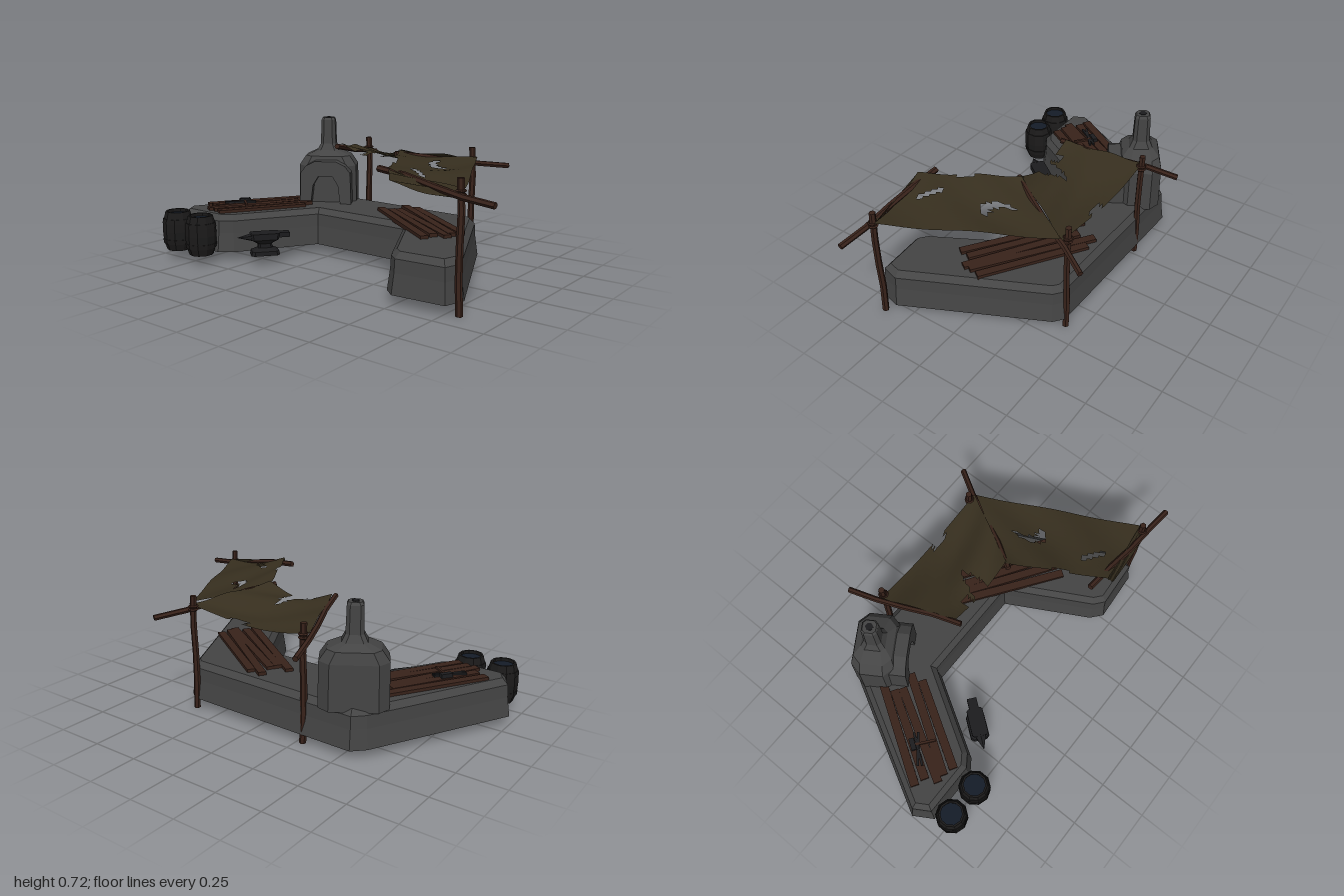
import * as THREE from 'three';

const mat = (color) => new THREE.MeshStandardMaterial({ color, flatShading: true, side: THREE.DoubleSide });
const stone = mat(0x444444), wood = mat(0x38221a), cloth = mat(0x362e1e), iron = mat(0x1c1c1e),
  barrelWood = mat(0x1b1a1a), water = mat(0x141c28);
const V = (x, y, z) => new THREE.Vector3(x, y, z);

function add(parent, name, geo, material, x = 0, y = 0, z = 0, ry = 0) {
  const m = new THREE.Mesh(geo, material);
  m.name = name;
  m.position.set(x, y, z);
  m.rotation.y = ry;
  parent.add(m);
  return m;
}

// Skins rings of points (bottom to top) and closes the top
function loft(rings) {
  const pos = [], n = rings[0].length;
  const tri = (...p) => p.forEach((v) => pos.push(v.x, v.y, v.z));
  for (let k = 0; k + 1 < rings.length; k++) {
    for (let i = 0; i < n; i++) {
      const j = (i + 1) % n, lo = rings[k], hi = rings[k + 1];
      tri(lo[i], hi[i], hi[j]);
      tri(lo[i], hi[j], lo[j]);
    }
  }
  const top = rings[rings.length - 1];
  const flat = top.map((p) => new THREE.Vector2(p.x, p.z));
  for (const [a, b, c] of THREE.ShapeUtils.triangulateShape(flat, [])) {
    const up = flat[b].clone().sub(flat[a]).cross(flat[c].clone().sub(flat[a])) < 0;
    up ? tri(top[a], top[b], top[c]) : tri(top[a], top[c], top[b]);
  }
  const g = new THREE.BufferGeometry();
  g.setAttribute('position', new THREE.Float32BufferAttribute(pos, 3));
  g.computeVertexNormals();
  return g;
}

// Shrinks a plan outline by d and lifts it to height y
function insetRing(outline, d, y) {
  const n = outline.length;
  const normal = (a, b) => new THREE.Vector2(a[1] - b[1], b[0] - a[0]).normalize();
  return outline.map((p, i) => {
    const n1 = normal(outline[(i + n - 1) % n], p), n2 = normal(p, outline[(i + 1) % n]);
    const k = d / (1 + n1.dot(n2));
    return V(p[0] + (n1.x + n2.x) * k, y, p[1] + (n1.y + n2.y) * k);
  });
}

// Rectangle with cut corners: half width w, half depth d, corner c
const cutRect = (w, d, c, y, cz = 0) => [[w, c - d], [w, d - c], [w - c, d], [c - w, d],
  [-w, d - c], [-w, c - d], [c - w, -d], [w - c, -d]].map(([x, z]) => V(x, y, z + cz));

// Rough six-sided log between two points
function log(parent, name, a, b, r, bend = 0.006) {
  const len = a.distanceTo(b), g = new THREE.CylinderGeometry(r * 0.95, r, len, 6, 4);
  const p = g.attributes.position;
  for (let i = 0; i < p.count; i++) {
    const t = p.getY(i) / len;
    p.setX(i, p.getX(i) + bend * Math.sin(t * 9));
    p.setZ(i, p.getZ(i) + bend * 0.6 * Math.cos(t * 8));
  }
  const m = add(parent, name, g, wood);
  m.position.copy(a).lerp(b, 0.5);
  m.quaternion.setFromUnitVectors(V(0, 1, 0), b.clone().sub(a).normalize());
}

// Sagging sheet between four corners; triangles where torn(u, v) holds are left out
function sheet(c00, c10, c01, c11, sag, torn) {
  const g = new THREE.PlaneGeometry(1, 1, 24, 24), p = g.attributes.position, uv = [];
  for (let i = 0; i < p.count; i++) {
    const u = p.getX(i) + 0.5, v = 0.5 - p.getY(i);
    uv.push([u, v]);
    const q = c00.clone().lerp(c10, u).lerp(c01.clone().lerp(c11, u), v);
    q.y -= sag * Math.sin(Math.PI * u) * (0.75 + 0.25 * Math.sin(v * 7)) + 0.006 * Math.sin(v * 11 + u * 6);
    p.setXYZ(i, q.x, q.y, q.z);
  }
  const idx = Array.from(g.index.array), keep = [];
  for (let i = 0; i < idx.length; i += 3) {
    const t = idx.slice(i, i + 3);
    const u = (uv[t[0]][0] + uv[t[1]][0] + uv[t[2]][0]) / 3, v = (uv[t[0]][1] + uv[t[1]][1] + uv[t[2]][1]) / 3;
    if (!torn(u, v)) keep.push(...t);
  }
  g.setIndex(keep);
  g.computeVertexNormals();
  return g;
}

function planks(parent, name, x, z, angle, length, count, pitch) {
  const group = new THREE.Group();
  group.name = name;
  group.position.set(x, 0.25, z);
  group.rotation.y = angle;
  for (let i = 0; i < count; i++) {
    const l = length * (1 - 0.06 * ((i * 2) % 3));
    add(group, 'plank', new THREE.BoxGeometry(pitch * 0.88, 0.022, l), wood,
      (i - (count - 1) / 2) * pitch, 0.002 * (i % 2), 0.02 * ((i % 3) - 1), 0.025 * ((i % 3) - 1));
  }
  parent.add(group);
}

export function createModel() {
  const model = new THREE.Group();
  model.name = 'forge';

  // Stone counter, bent around the work area
  const outline = [[-1, 0.33], [-0.62, -0.38], [-0.56, -0.44], [0.41, -0.42], [0.46, -0.38], [0.8, 0.32],
    [0.77, 0.43], [0.5, 0.45], [0.44, 0.4], [0.21, -0.02], [-0.34, -0.02], [-0.58, 0.38], [-0.65, 0.43], [-0.94, 0.43]];
  add(model, 'counter', loft([[0, 0.05], [0.014, 0.15], [0.018, 0.215], [0.045, 0.245]]
    .map(([d, y]) => insetRing(outline, d, y))), stone);

  // Furnace: shouldered body with chimney, and an arched mouth in front
  const furnace = new THREE.Group();
  furnace.name = 'furnace';
  furnace.position.set(-0.47, 0, -0.27);
  furnace.rotation.y = 0.56;
  model.add(furnace);
  const tower = [[0.165, 0.11, 0.05, 0.22], [0.162, 0.108, 0.05, 0.45], [0.125, 0.095, 0.04, 0.505], [0.06, 0.06, 0.02, 0.535],
    [0.043, 0.043, 0.018, 0.57], [0.039, 0.039, 0.016, 0.705], [0.032, 0.032, 0.014, 0.718]];
  add(furnace, 'furnaceBody', loft(tower.map(([w, d, c, y]) => cutRect(w, d, c, y, -0.035))), stone);
  add(furnace, 'chimneyHole', new THREE.CylinderGeometry(0.02, 0.02, 0.004, 6), iron, 0, 0.719, -0.035);
  const half = [[0.145, 0.23], [0.14, 0.42], [0.11, 0.46], [0.06, 0.485]];
  const mouth = [[0.04, 0.4], [0.07, 0.35], [0.085, 0.23]];
  const mirror = (pts) => pts.map(([x, y]) => [-x, y]).reverse();
  const arch = new THREE.Shape([...half, ...mirror(half), ...mirror(mouth), ...mouth]
    .map(([x, y]) => new THREE.Vector2(x, y)));
  add(furnace, 'furnaceMouth', new THREE.ExtrudeGeometry(arch, { depth: 0.09, bevelEnabled: false }), stone, 0, 0, 0.04);

  // Loose planks on the counter
  planks(model, 'leftPlanks', -0.665, 0.11, -0.54, 0.55, 5, 0.05);
  planks(model, 'rightPlanks', 0.28, -0.1, 0.98, 0.66, 5, 0.047);

  // Tongs and hammer on the left planks
  for (const s of [-1, 1]) {
    add(model, 'tongArm', new THREE.BoxGeometry(0.012, 0.01, 0.17), iron, -0.74, 0.268, 0.17, -0.75 + s * 0.13);
  }
  add(model, 'hammerHandle', new THREE.BoxGeometry(0.012, 0.012, 0.13), wood, -0.7, 0.268, 0.17, 0.9);
  add(model, 'hammerHead', new THREE.BoxGeometry(0.026, 0.026, 0.06), iron, -0.74, 0.271, 0.135, -0.6);

  // Two barrels in front of the left arm
  for (const x of [-0.88, -0.7]) {
    const barrel = new THREE.Group();
    barrel.name = 'barrel';
    barrel.position.set(x, 0, 0.5);
    const profile = [[0, 0.048], [0.063, 0.048], [0.075, 0.085], [0.079, 0.085], [0.082, 0.11], [0.079, 0.11],
      [0.082, 0.152], [0.079, 0.195], [0.082, 0.195], [0.078, 0.22], [0.074, 0.22], [0.064, 0.257],
      [0.054, 0.257], [0.056, 0.235]].map(([r, y]) => new THREE.Vector2(r, y));
    add(barrel, 'barrelStaves', new THREE.LatheGeometry(profile, 10), barrelWood);
    add(barrel, 'barrelWater', new THREE.CircleGeometry(0.057, 10).rotateX(-Math.PI / 2), water, 0, 0.24, 0);
    model.add(barrel);
  }

  // Anvil with a horn pointing forward
  const anvil = new THREE.Group();
  anvil.name = 'anvil';
  anvil.position.set(-0.43, 0, 0.3);
  anvil.rotation.y = -0.65;
  model.add(anvil);
  add(anvil, 'anvilBody', loft([[0.05, 0.075, 0.015, 0.05], [0.048, 0.07, 0.015, 0.072], [0.026, 0.038, 0.01, 0.088],
    [0.026, 0.036, 0.01, 0.11], [0.042, 0.07, 0.01, 0.132], [0.042, 0.075, 0.01, 0.165]]
    .map(([w, d, c, y]) => cutRect(w, d, c, y))), iron);
  add(anvil, 'anvilHorn', new THREE.ConeGeometry(0.034, 0.08, 6).scale(1, 1, 0.65).rotateX(Math.PI / 2), iron, 0, 0.145, 0.105);
  add(anvil, 'anvilHeel', new THREE.BoxGeometry(0.05, 0.025, 0.06), iron, 0, 0.152, -0.1);

  // Posts with rope lashings
  const posts = [[-0.285, -0.415], [0.395, -0.415], [0.81, 0.385]];
  for (const [x, z] of posts) {
    log(model, 'post', V(x, 0, z), V(x, 0.607, z), 0.017, 0.004);
    for (const y of [0.535, 0.552]) {
      add(model, 'lashing', new THREE.TorusGeometry(0.02, 0.006, 4, 8).rotateX(Math.PI / 2), wood, x, y, z);
    }
  }

  // Slanted cross poles holding the awning
  log(model, 'crossPole', V(-0.37, 0.5, -0.58), V(-0.175, 0.605, 0), 0.015);
  log(model, 'crossPole', V(0.52, 0.5, -0.565), V(0.2, 0.605, 0), 0.015);
  log(model, 'crossPole', V(0.37, 0.605, 0.375), V(0.99, 0.51, 0.42), 0.016);

  // Torn cloth awnings
  add(model, 'backAwning', sheet(V(-0.31, 0.555, -0.41), V(0.43, 0.555, -0.41), V(-0.18, 0.618, -0.03), V(0.21, 0.618, -0.03), 0.05,
    (u, v) => (v > 0.6 && Math.abs(u - 0.52) < (v - 0.58) * 0.3) || (v > 0.88 && u > 0.25 && u < 0.36)
      || (v < 0.07 && Math.abs(u - 0.58) < 0.06)), cloth);
  add(model, 'sideAwning', sheet(V(0.2, 0.622, -0.03), V(0.43, 0.56, -0.4), V(0.455, 0.61, 0.415), V(0.82, 0.555, 0.365), 0.02,
    (u, v) => (Math.hypot(u - 0.55, v - 0.31) < 0.12 && Math.hypot(u - 0.62, v - 0.26) > 0.11)
      || (Math.abs(u - 0.35 - (v - 0.8)) < 0.04 && Math.abs(v - 0.8) < 0.08)
      || (u < 0.05 && Math.abs(v - 0.55) < 0.08)), cloth);

  // Cloth rolled over the front pole
  add(model, 'awningFold', sheet(V(0.455, 0.61, 0.415), V(0.82, 0.555, 0.365), V(0.48, 0.56, 0.44), V(0.8, 0.52, 0.415), 0.005,
    () => false), cloth);

  return model;
}
